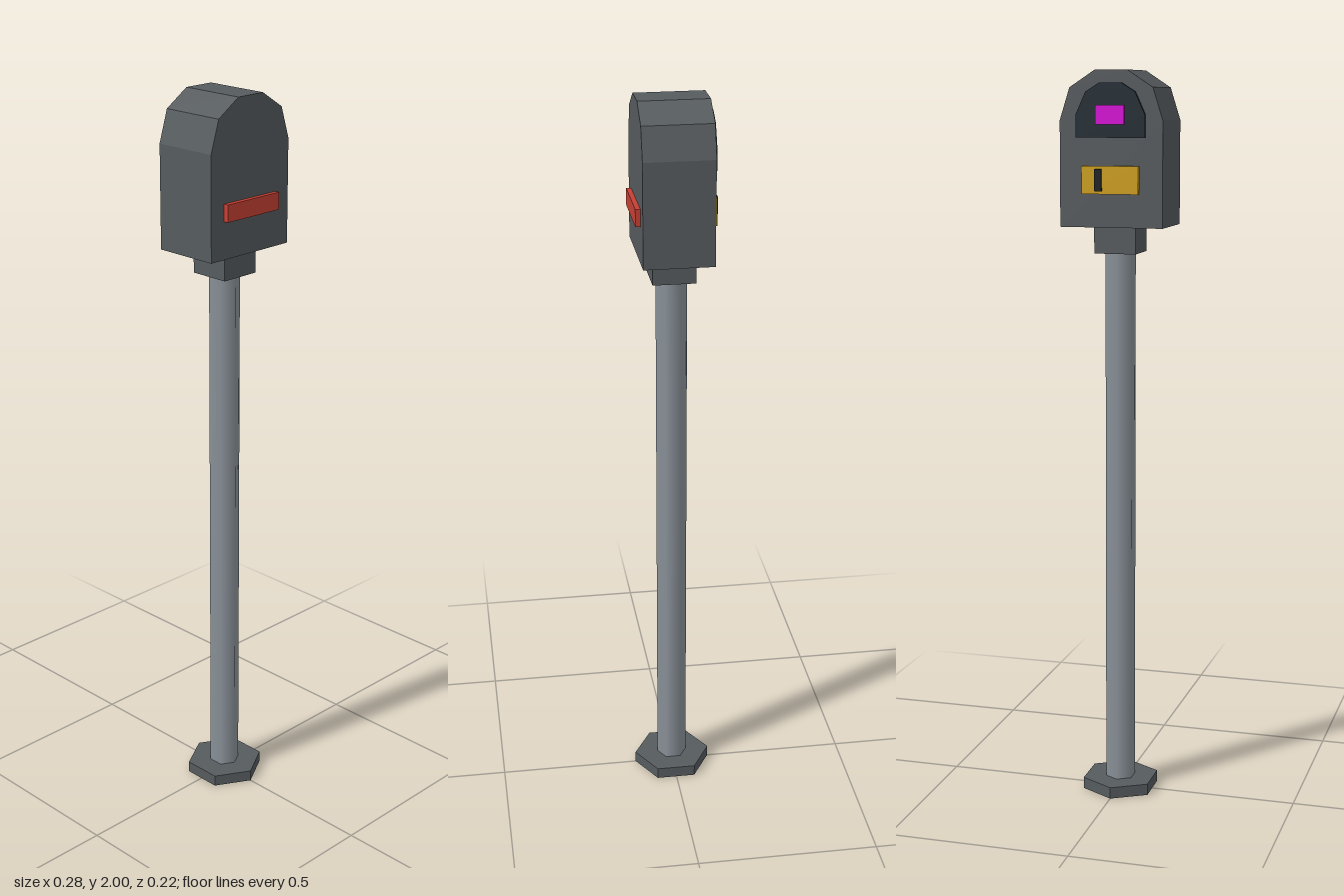
import * as THREE from 'three';

export function createModel() {
  const model = new THREE.Group();
  model.name = 'parkingMeter';

  const paint = (name, color, flatShading = true) => {
    const m = new THREE.MeshStandardMaterial({ color, flatShading });
    m.name = name;
    return m;
  };
  const darkGrey = paint('darkGrey', 0x565b5e);
  const steel = paint('steel', 0x8a9299, false);
  const red = paint('red', 0xc64034);
  const yellow = paint('yellow', 0xd0a01c);
  const glass = paint('darkGlass', 0x1f2a33);
  const magenta = paint('magenta', 0xd800d8);
  const black = paint('black', 0x1b1d1f);

  const add = (name, geometry, material, x = 0, y = 0, z = 0) => {
    const mesh = new THREE.Mesh(geometry, material);
    mesh.name = name;
    mesh.position.set(x, y, z);
    model.add(mesh);
    return mesh;
  };
  // Box given by its limits on each axis
  const box = (name, material, x0, x1, y0, y1, z0, z1) =>
    add(name, new THREE.BoxGeometry(x1 - x0, y1 - y0, z1 - z0), material,
      (x0 + x1) / 2, (y0 + y1) / 2, (z0 + z1) / 2);
  // Symmetric plate extruded along z from the right half of its outline, bottom to top
  const arch = (name, material, half, z0, z1) => {
    const mirrored = half.map(([x, y]) => [-x, y]).reverse();
    const shape = new THREE.Shape([...half, ...mirrored].map(([x, y]) => new THREE.Vector2(x, y)));
    const geometry = new THREE.ExtrudeGeometry(shape, { depth: z1 - z0, bevelEnabled: false });
    return add(name, geometry, material, 0, 0, z0);
  };

  // Hexagonal foot and post
  add('base', new THREE.CylinderGeometry(0.108, 0.108, 0.032, 6), darkGrey, 0, 0.016, 0.0015);
  add('pole', new THREE.CylinderGeometry(0.042, 0.042, 1.49, 6), steel, 0, 0.775, 0.0015);

  // Neck and arched head
  box('neck', darkGrey, -0.057, 0.057, 1.52, 1.592, -0.056, 0.059);
  arch('head', darkGrey, [[0.14, 1.592], [0.14, 1.87], [0.113, 1.955], [0.044, 2]], -0.092, 0.094);

  // Front strip
  box('frontStrip', red, -0.094, 0.094, 1.692, 1.738, 0.094, 0.107);

  // Rear display
  arch('window', glass, [[0.094, 1.826], [0.094, 1.885], [0.067, 1.944], [0.03, 1.967]], -0.101, -0.092);
  box('screen', magenta, -0.039, 0.039, 1.86, 1.91, -0.106, -0.101);

  // Rear coin plate with slot
  box('coinPlate', yellow, -0.077, 0.077, 1.68, 1.753, -0.106, -0.092);
  box('coinSlot', black, 0.021, 0.04, 1.688, 1.745, -0.113, -0.106);

  return model;
}
